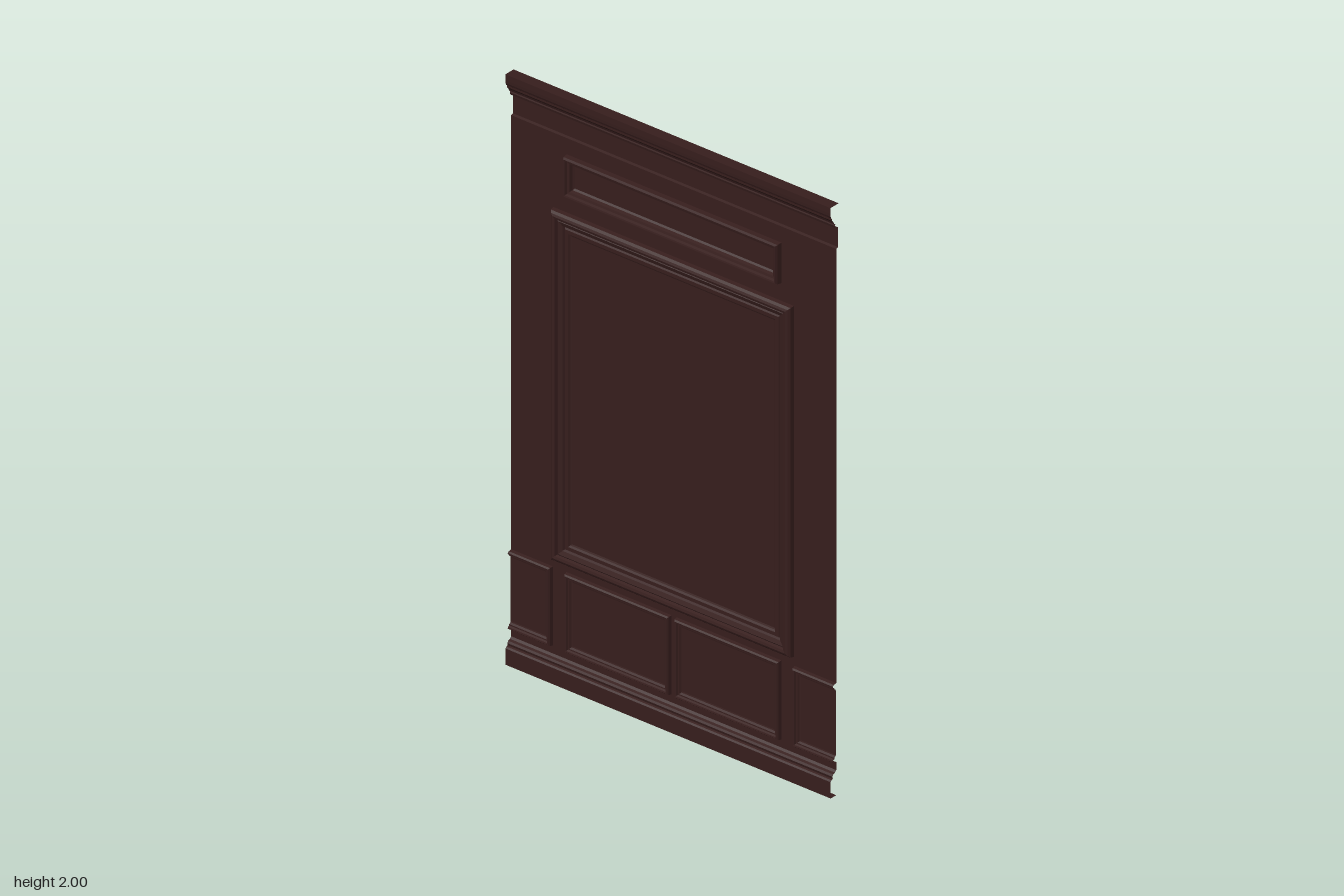
import * as THREE from 'three';

const W = 0.623;       // half width of the wall panel
const WALL = -0.008;   // depth of the flat wall sheet
const material = new THREE.MeshStandardMaterial({ color: 0x371e1d, side: THREE.DoubleSide });

// Joins successive rows of points with quads; closed rows wrap round
function loft(name, rows, closed, capped) {
  const pos = [];
  const quad = (a, b, c, d) => pos.push(...a, ...b, ...c, ...a, ...c, ...d);
  for (let r = 0; r < rows.length - 1; r++) {
    const a = rows[r], b = rows[r + 1], n = a.length;
    for (let i = 0; i < (closed ? n : n - 1); i++) {
      const j = (i + 1) % n;
      quad(a[i], a[j], b[j], b[i]);
    }
  }
  if (capped) quad(...rows[rows.length - 1]);
  const g = new THREE.BufferGeometry();
  g.setAttribute('position', new THREE.Float32BufferAttribute(pos, 3));
  g.computeVertexNormals();
  const mesh = new THREE.Mesh(g, material);
  mesh.name = name;
  return mesh;
}

// Moulded frame with its field: profile is a list of [inset, z].
// openL / openR leave that side running off the wall's edge.
function framedPanel(name, [x0, x1, y0, y1], profile, openL = false, openR = false) {
  const rows = profile.map(([d, z]) => {
    const l = openL ? x0 : x0 + d, r = openR ? x1 : x1 - d;
    return [[l, y0 + d, z], [r, y0 + d, z], [r, y1 - d, z], [l, y1 - d, z]];
  });
  // open sides have coincident corners in x, which simply give empty-width faces there
  const mesh = loft(name, rows, !(openL || openR), true);
  if (!openL && !openR) return mesh;
  const order = openL ? [0, 1, 2, 3] : [2, 3, 0, 1];
  const open = loft(name, rows.map(r => order.map(i => r[i])), false, true);
  return open;
}

// Full-width rail from a profile of [z, y], bottom to top
function rail(name, profile) {
  return loft(name, profile.map(([z, y]) => [[-W, y, z], [W, y, z]]), false, false);
}

export function createModel() {
  const group = new THREE.Group();
  group.name = 'wallPanel';

  const main = [-0.461, 0.461, 0.41, 1.598];
  const upper = [-0.411, 0.413, 1.658, 1.795];
  const lowers = [[-0.411, -0.008, 0.112, 0.38], [0.01, 0.413, 0.112, 0.38]];
  const sideX = 0.463, sy0 = 0.112, sy1 = 0.38;

  // Wall sheet, notched for the side panels and cut out behind each frame
  const right = [[W, 0.085], [W, sy0], [sideX, sy0], [sideX, sy1], [W, sy1], [W, 1.85]];
  const left = right.map(([x, y]) => [-x, y]).reverse();
  const shape = new THREE.Shape([...right, ...left].map(p => new THREE.Vector2(...p)));
  for (const [x0, x1, y0, y1] of [main, upper, ...lowers]) {
    shape.holes.push(new THREE.Path([[x0, y0], [x0, y1], [x1, y1], [x1, y0]].map(p => new THREE.Vector2(...p))));
  }
  const wall = new THREE.Mesh(new THREE.ShapeGeometry(shape), material);
  wall.position.z = WALL;
  wall.name = 'wallSheet';
  group.add(wall);

  // Large central panel with a stepped moulding
  group.add(framedPanel('mainPanel', main, [
    [0, WALL], [0.002, 0.006], [0.008, 0.013], [0.015, 0.016], [0.023, 0.014], [0.026, 0.005],
    [0.030, 0.008], [0.044, 0.003], [0.048, -0.004], [0.052, 0.002], [0.064, 0.002],
    [0.068, -0.004], [0.073, -0.006],
  ]));

  // Narrow upper panel with a slightly sunken field
  group.add(framedPanel('upperPanel', upper, [
    [0, WALL], [0.002, 0.008], [0.006, 0.015], [0.011, 0.014], [0.014, 0.006],
    [0.022, 0.004], [0.025, -0.006], [0.030, -0.011],
  ]));

  // Row of lower panels, the outer two running off the edges
  const small = [
    [0, WALL], [0.002, 0.003], [0.006, 0.008], [0.011, 0.007], [0.014, 0.001],
    [0.018, 0.001], [0.022, -0.005], [0.026, -0.006],
  ];
  lowers.forEach(r => group.add(framedPanel('lowerPanel', r, small)));
  group.add(framedPanel('sidePanel', [-W, -sideX, sy0, sy1], small, true, false));
  group.add(framedPanel('sidePanel', [sideX, W, sy0, sy1], small, false, true));

  // Skirting along the floor
  group.add(rail('baseboard', [
    [WALL, 0], [0.018, 0], [0.018, 0.055], [0.014, 0.06], [0.008, 0.062],
    [0.010, 0.07], [0.006, 0.076], [-0.002, 0.079], [WALL, 0.085],
  ]));

  // Recessed frieze and stepped cornice
  group.add(rail('cornice', [
    [WALL, 1.85], [-0.016, 1.853], [-0.016, 1.92], [-0.004, 1.922], [-0.002, 1.93],
    [-0.004, 1.935], [0.002, 1.938], [0.005, 1.946], [0.011, 1.953], [0.011, 1.96],
    [0.015, 1.963], [0.018, 1.97], [0.019, 1.98], [0.019, 2], [-0.019, 2],
  ]));

  return group;
}
